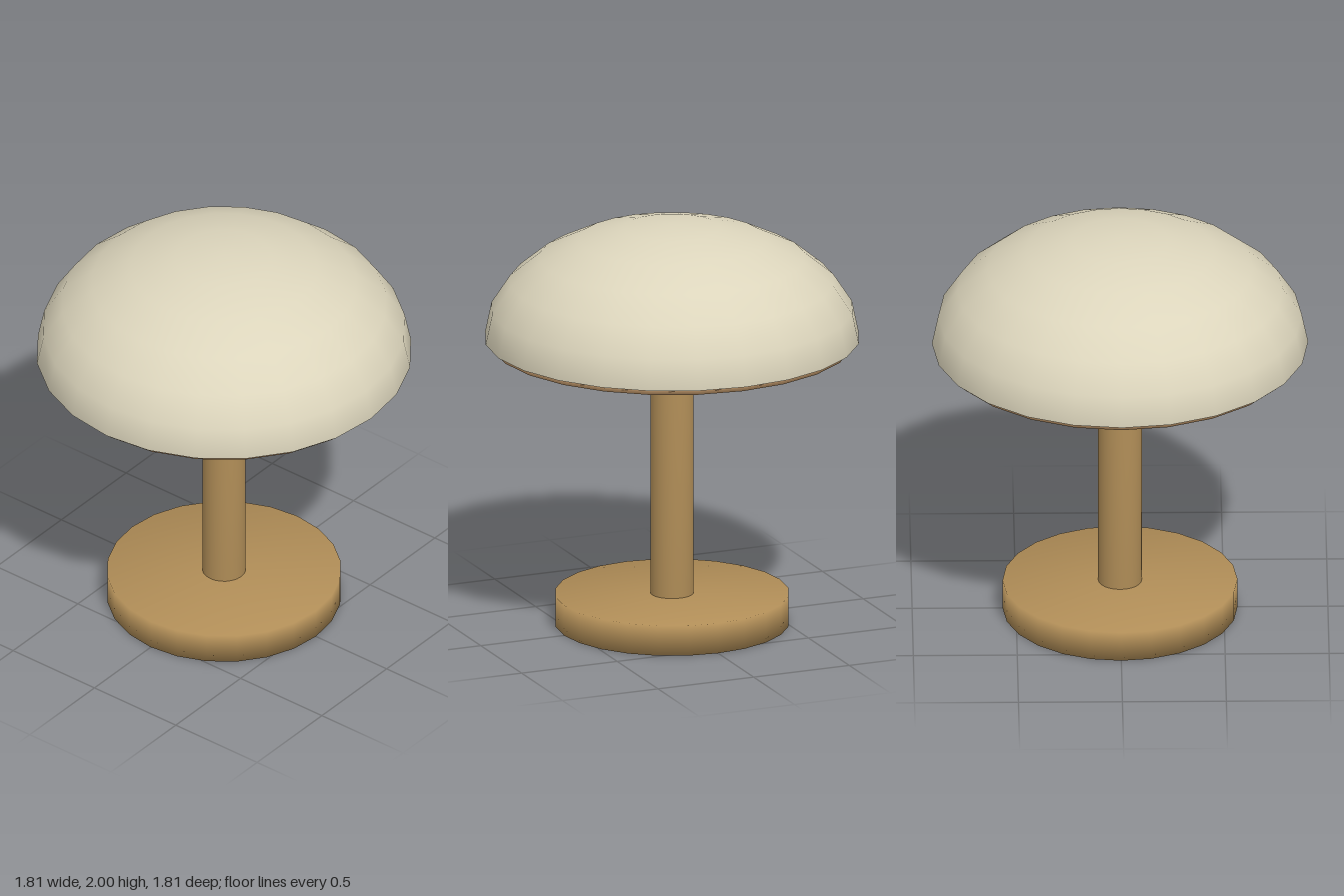
import * as THREE from 'three';
import { mergeVertices } from 'three/addons/utils/BufferGeometryUtils.js';

const SIDES = 24;

// Solid disc or post between two heights, softly shaded across its edges
function softCylinder(radius, y0, y1) {
  const g = new THREE.CylinderGeometry(radius, radius, y1 - y0, SIDES);
  g.translate(0, (y0 + y1) / 2, 0);
  g.deleteAttribute('uv');
  g.deleteAttribute('normal');
  const merged = mergeVertices(g);
  merged.computeVertexNormals();
  return merged;
}

export function createModel() {
  const lamp = new THREE.Group();
  lamp.name = 'tableLamp';

  const brass = new THREE.MeshStandardMaterial({ color: 0xb08d57 });
  brass.name = 'brass';
  const copper = new THREE.MeshStandardMaterial({ color: 0xc49a6c });
  copper.name = 'copper';
  const cream = new THREE.MeshStandardMaterial({ color: 0xdcd5bc, side: THREE.DoubleSide });
  cream.name = 'cream';

  const add = (name, geometry, material) => {
    const mesh = new THREE.Mesh(geometry, material);
    mesh.name = name;
    lamp.add(mesh);
  };

  // Foot and post
  add('base', softCylinder(0.565, 0, 0.15), brass);
  add('stem', softCylinder(0.105, 0.01, 1.415), brass);

  // Plate closing the underside of the shade
  add('shadePlate', softCylinder(0.87, 1.4, 1.435), copper);

  // Flattened half-dome shade
  const dome = new THREE.SphereGeometry(1, SIDES, 6, 0, Math.PI * 2, 0, Math.PI / 2);
  dome.scale(0.905, 0.57, 0.905);
  dome.translate(0, 1.43, 0);
  add('shade', dome, cream);

  return lamp;
}
